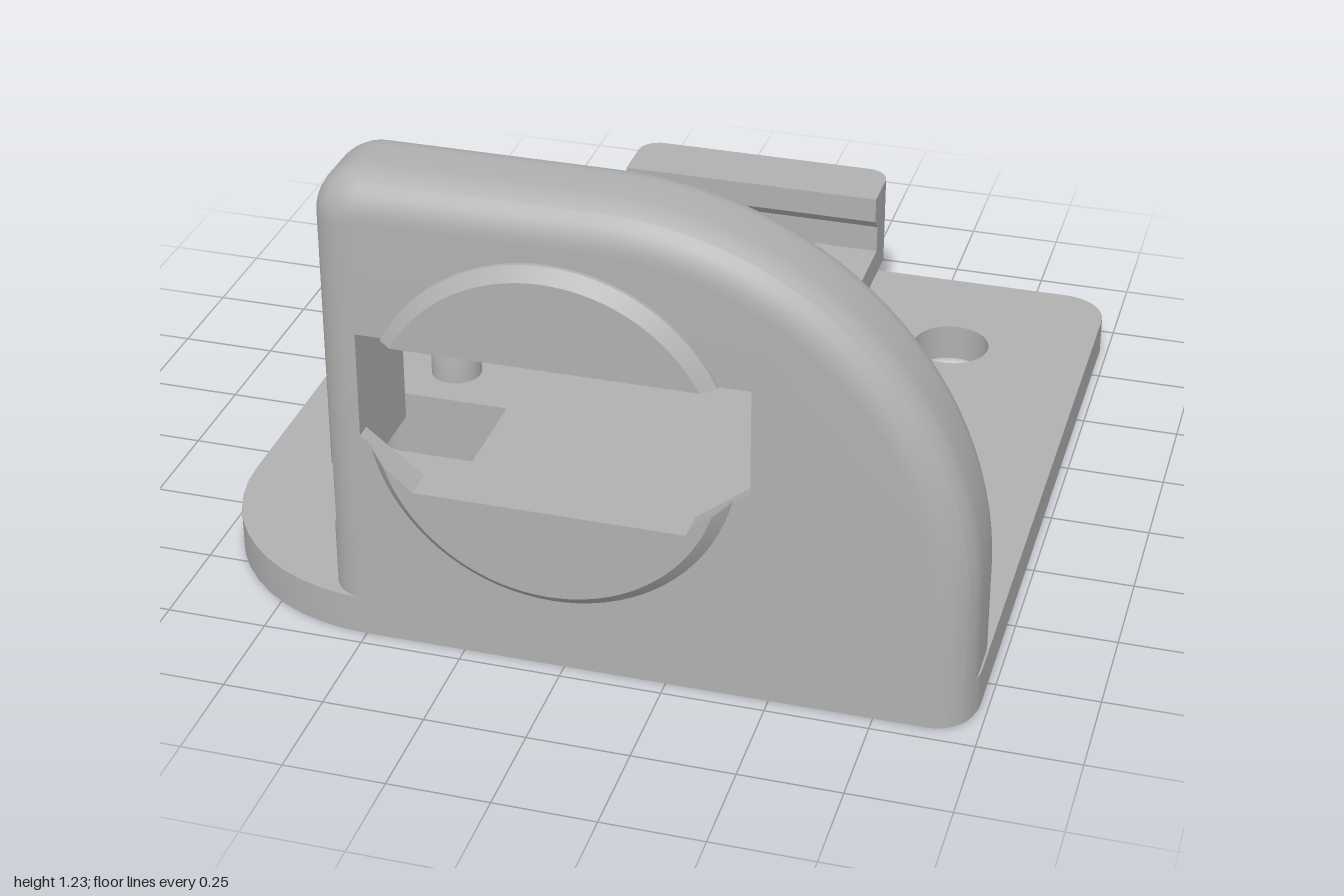
import * as THREE from 'three';
import { toCreasedNormals } from 'three/addons/utils/BufferGeometryUtils.js';

const V = (x, y) => new THREE.Vector2(x, y);

// Points along a circular arc
function arc(cx, cy, r, a0, a1, n) {
  return Array.from({ length: n + 1 }, (_, i) => {
    const a = a0 + (a1 - a0) * i / n;
    return V(cx + r * Math.cos(a), cy + r * Math.sin(a));
  });
}

// Loft of matching outlines stacked along z, with an optional straight hole
function loft(layers, hole, capBack = true) {
  const pos = [];
  const strip = (a, za, b, zb) => a.forEach((p, i) => {
    const j = (i + 1) % a.length, q = a[j], r = b[j], s = b[i];
    pos.push(p.x, p.y, za, q.x, q.y, za, r.x, r.y, zb, p.x, p.y, za, r.x, r.y, zb, s.x, s.y, zb);
  });
  const cap = ({ pts, z }, flip) => {
    const all = hole ? [...pts, ...hole] : pts;
    for (const f of THREE.ShapeUtils.triangulateShape([...pts], hole ? [[...hole]] : []))
      for (const k of flip ? [f[2], f[1], f[0]] : f) pos.push(all[k].x, all[k].y, z);
  };
  const first = layers[0], last = layers[layers.length - 1];
  for (let i = 0; i + 1 < layers.length; i++)
    strip(layers[i].pts, layers[i].z, layers[i + 1].pts, layers[i + 1].z);
  if (hole) strip(hole, first.z, hole, last.z);
  if (capBack) cap(first, true);
  cap(last, false);
  const g = new THREE.BufferGeometry();
  g.setAttribute('position', new THREE.Float32BufferAttribute(pos, 3));
  return toCreasedNormals(g, 0.55);
}

// Upright block with a rounded plan; radii: front left, front right, back right, back left (by -x / +x)
function planBlock(x0, x1, z0, z1, y0, y1, radii, holes = []) {
  const corners = [[x0, -z1, 1, 1], [x1, -z1, -1, 1], [x1, -z0, -1, -1], [x0, -z0, 1, -1]];
  const pts = corners.flatMap(([x, y, sx, sy], i) => {
    const r = radii[i], a = Math.PI + i * Math.PI / 2;
    return r ? arc(x + sx * r, y + sy * r, r, a, a + Math.PI / 2, 12) : [V(x, y)];
  });
  const shape = new THREE.Shape(pts);
  for (const [x, z, r] of holes)
    shape.holes.push(new THREE.Path().absarc(x, -z, r, 0, Math.PI * 2, true));
  const g = new THREE.ExtrudeGeometry(shape, { depth: y1 - y0, bevelEnabled: false, curveSegments: 24 });
  g.rotateX(-Math.PI / 2).translate(0, y0, 0);
  return toCreasedNormals(g, 0.55);
}

// Side profile given as [z, y], extruded across x
function profileBlock(points, x0, x1) {
  const shape = new THREE.Shape(points.map(([z, y]) => V(-z, y)));
  const g = new THREE.ExtrudeGeometry(shape, { depth: x1 - x0, bevelEnabled: false });
  return g.rotateY(Math.PI / 2).translate(x0, 0, 0);
}

// Wall outline, counter-clockwise, inset by d; the back part also has the slot and window cut in
function wallOutline(d, slotted) {
  const L = -0.6 + d;
  const cut = [V(L, 0.44), V(-0.49, 0.44), V(-0.49, 0.83), V(0.45, 0.83),
    V(0.45, 0.44), V(0.72, 0.44), V(0.72, 0.275), V(L, 0.275)];
  return [V(L, 0), V(0.975 - d, 0),
    ...arc(0.08, 0.33, 0.895 - d, 0, Math.PI / 2, 28),
    ...arc(-0.48, 1.105, 0.12 - d, Math.PI / 2, Math.PI, 10),
    ...(slotted ? cut : [])];
}

export function createModel() {
  const model = new THREE.Group();
  const grey = new THREE.MeshStandardMaterial({ color: 0xb0b0b0 });
  grey.name = 'grey';
  const add = (name, geometry) => {
    const m = new THREE.Mesh(geometry, grey);
    m.name = name;
    model.add(m);
    return m;
  };

  // Base plate with two mounting holes
  add('basePlate', planBlock(-0.98, 0.98, -1, 0.96, 0, 0.1, [0.48, 0.12, 0.12, 0.12],
    [[-0.76, -0.64, 0.097], [0.605, -0.635, 0.102]]));

  // Rounded wall: slotted back part and thin front skin
  const R = 0.1, zBack = 0.665, zFront = 0.96, zSkin = 0.92;
  const back = [], front = [];
  for (let i = 0; i <= 8; i++) {
    const a = i / 8 * Math.PI / 2;
    back.push({ z: zBack + R * (1 - Math.cos(a)), pts: wallOutline(R * (1 - Math.sin(a)), true) });
  }
  const split = Math.asin((zSkin - (zFront - R)) / R);
  for (let i = 0; i <= 4; i++) {
    const a = split * i / 4;
    back.push({ z: zFront - R + R * Math.sin(a), pts: wallOutline(R * (1 - Math.cos(a)), true) });
  }
  for (let i = 0; i <= 6; i++) {
    const a = split + (Math.PI / 2 - split) * i / 6;
    front.push({ z: zFront - R + R * Math.sin(a), pts: wallOutline(R * (1 - Math.cos(a)), false) });
  }
  const windowHole = [V(-0.49, 0.56), V(-0.49, 0.83), V(0.45, 0.83), V(0.45, 0.56), V(0.31, 0.45), V(-0.35, 0.45)];
  add('wallBack', loft(back));
  add('wallFrontSkin', loft(front, windowHole));

  // Chamfered round boss, cut in two by the window
  const cx = -0.025, cy = 0.635;
  const upper = r => {
    const a = Math.asin(0.195 / r);
    return arc(cx, cy, r, a, Math.PI - a, 32);
  };
  const lower = (r, a) => [...arc(cx, cy, r, -Math.PI + a, -a, 36), V(0.31, 0.45), V(-0.35, 0.45)];
  const bossLayers = (a, b) => [{ z: 0.955, pts: a }, { z: 0.97, pts: a }, { z: 1, pts: b }];
  add('bossUpper', loft(bossLayers(upper(0.445), upper(0.415))));
  add('bossLower', loft(bossLayers(lower(0.445, 0.222), lower(0.415, 0.313))));

  // Cantilever arm with hooked end
  const ax0 = -0.36, ax1 = 0.355;
  add('arm', profileBlock([[0.7, 0.09], [-0.1, 0.09], [-0.1, 0.12], [-0.19, 0.2],
    [-0.8, 0.2], [-0.8, 0.275], [0.7, 0.275]].reverse(), ax0, ax1));
  add('hookBlock', planBlock(ax0, ax1, -0.94, -0.79, 0.2, 0.45, [0, 0, 0.06, 0.06]));
  add('hookNose', profileBlock([[-0.79, 0.35], [-0.76, 0.38], [-0.76, 0.45], [-0.79, 0.45]].reverse(), ax0, ax1));

  // Side pads with round-topped pins
  add('rightPad', planBlock(-0.715, ax0, 0, 0.3, 0.09, 0.275, [0.06, 0, 0, 0.06]));
  add('leftPad', planBlock(ax1, 0.71, 0, 0.3, 0.09, 0.275, [0, 0.06, 0.06, 0]));
  const pinProfile = [V(0.065, 0.25), ...arc(0.03, 0.34, 0.035, 0, Math.PI / 2, 8), V(0, 0.375)];
  for (const [name, x] of [['rightPin', -0.545], ['leftPin', 0.525]])
    add(name, toCreasedNormals(new THREE.LatheGeometry(pinProfile, 28), 0.55)).position.set(x, 0, 0.155);

  return model;
}
